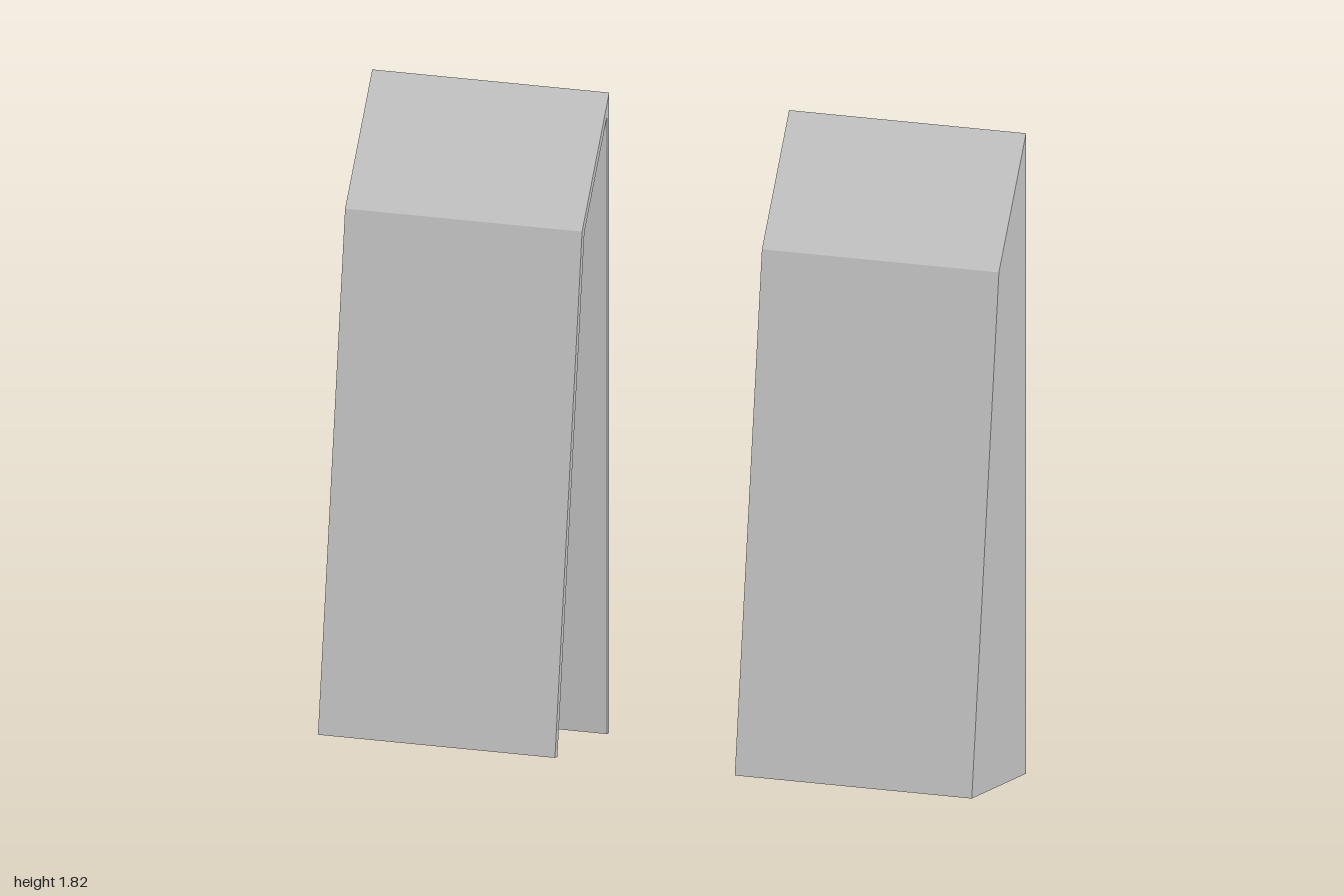
import * as THREE from 'three';

const T = 0.016;          // sheet thickness
const X0 = 0.275, X1 = 1; // inner and outer side of each hood

// Side profile as [z, y]: front foot, shoulder, peak, back foot
const outer = [[0.18, 0], [0, 1.46], [-0.18, 1.82], [-0.18, 0]];
// The same profile moved inwards by the sheet thickness
const inner = [
  [0.18 - 1.008 * T, 0],
  [-0.971 * T, 1.46 - 0.293 * T],
  [-0.18 + T, 1.82 - 4.236 * T],
  [-0.18 + T, 0],
];

const material = new THREE.MeshStandardMaterial({ color: 0xcccccc, flatShading: true });

// Extrude a [z, y] outline from x = a to x = b
function slab(name, points, a, b) {
  const shape = new THREE.Shape(points.map(([z, y]) => new THREE.Vector2(z, y)));
  const geometry = new THREE.ExtrudeGeometry(shape, { depth: b - a, bevelEnabled: false });
  geometry.rotateY(-Math.PI / 2).translate(b, 0, 0);
  const mesh = new THREE.Mesh(geometry, material);
  mesh.name = name;
  return mesh;
}

// Folded sheet: front panel, sloping top and back panel, open below
function foldedSheet(a, b) {
  return slab('foldedSheet', [...outer, ...[...inner].reverse()], a, b);
}

export function createModel() {
  const model = new THREE.Group();
  model.name = 'hoodPair';

  // Hood with open sides
  const openHood = new THREE.Group();
  openHood.name = 'openHood';
  openHood.add(foldedSheet(-X1, -X0));

  // Hood closed by a panel on each side
  const closedHood = new THREE.Group();
  closedHood.name = 'closedHood';
  closedHood.add(
    foldedSheet(X0 + T, X1 - T),
    slab('innerSidePanel', outer, X0, X0 + T),
    slab('outerSidePanel', outer, X1 - T, X1),
  );

  model.add(openHood, closedHood);
  return model;
}
